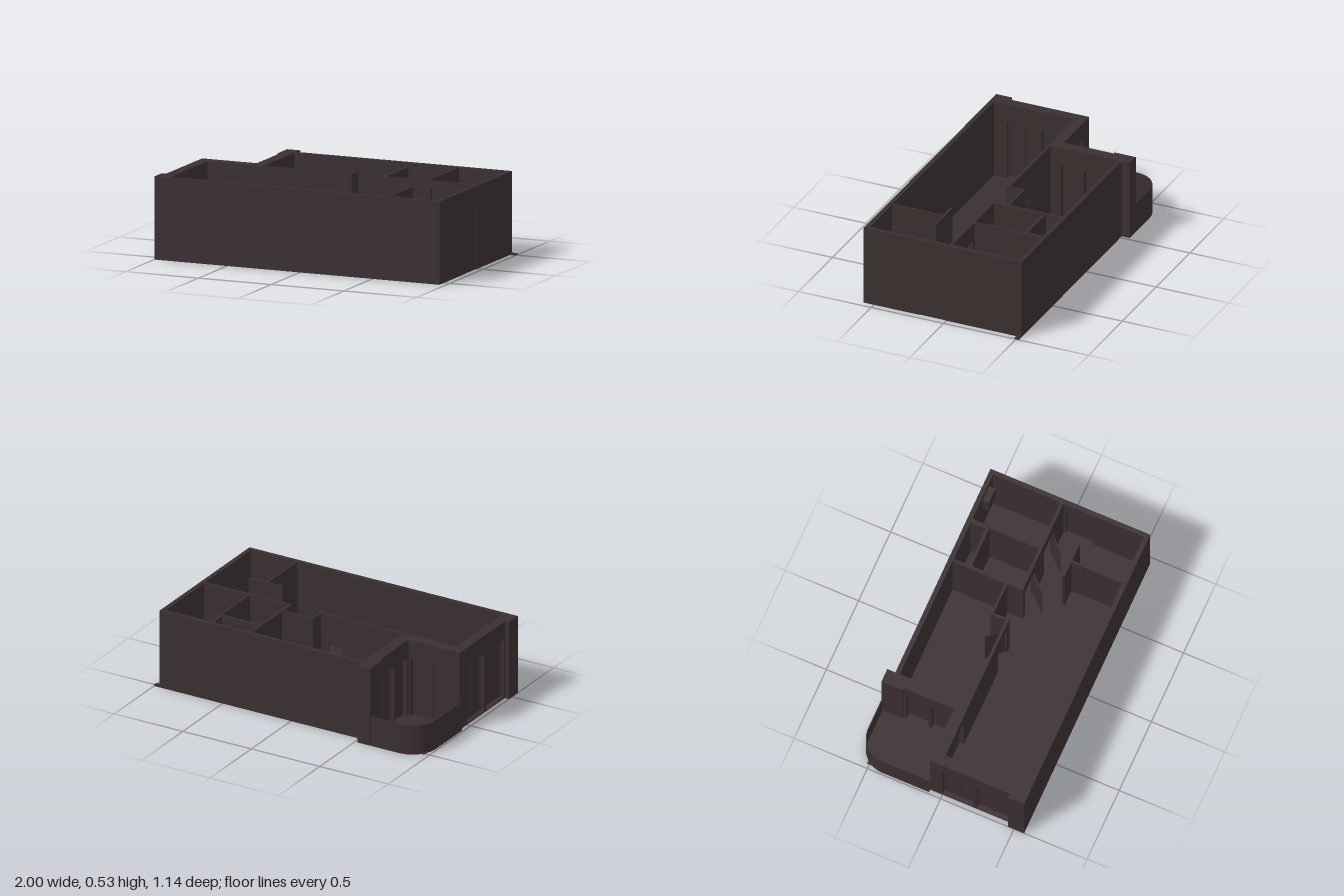
import * as THREE from 'three';

const H = 0.53;       // wall height
const DOOR = 0.405;   // opening height
const FLOOR = 0.01;   // slab thickness

export function createModel() {
  const model = new THREE.Group();
  model.name = 'apartment';
  const plaster = new THREE.MeshStandardMaterial({ color: 0x3a2f30 });
  plaster.name = 'dark plaster';

  const add = (name, geometry, parent = model) => {
    const mesh = new THREE.Mesh(geometry, plaster);
    mesh.name = name;
    parent.add(mesh);
    return mesh;
  };
  const box = (name, x0, x1, z0, z1, y0 = 0, y1 = H, parent = model) => {
    const mesh = add(name, new THREE.BoxGeometry(x1 - x0, y1 - y0, z1 - z0), parent);
    mesh.position.set((x0 + x1) / 2, (y0 + y1) / 2, (z0 + z1) / 2);
    return mesh;
  };

  // Wall along x or z with openings [start, end, panels]; panels = 0 leaves it open
  const wall = (name, axis, a, b, c0, c1, openings = [], panelAt = 0.5) => {
    const group = new THREE.Group();
    group.name = name;
    model.add(group);
    const piece = (part, s, e, t0, t1, y0, y1) => axis === 'x'
      ? box(part, s, e, t0, t1, y0, y1, group)
      : box(part, t0, t1, s, e, y0, y1, group);
    const mid = c0 + (c1 - c0) * panelAt;
    let from = a;
    for (const [s, e, panels] of openings) {
      if (s > from) piece('wallPiece', from, s, c0, c1, 0, H);
      piece('lintel', s, e, c0, c1, DOOR, H);
      if (panels) piece('panel', s, e, mid - 0.004, mid + 0.004, 0, DOOR);
      // Slim frame around every leaf of a glazed opening
      if (panels > 1) {
        const w = (e - s) / panels;
        for (let i = 0; i < panels; i++) {
          const p = s + i * w;
          piece('stile', p, p + 0.01, mid - 0.009, mid + 0.009, 0, DOOR);
          piece('stile', p + w - 0.01, p + w, mid - 0.009, mid + 0.009, 0, DOOR);
          piece('topRail', p + 0.01, p + w - 0.01, mid - 0.009, mid + 0.009, DOOR - 0.01, DOOR);
        }
      }
      from = e;
    }
    if (from < b) piece('wallPiece', from, b, c0, c1, 0, H);
  };

  // Floor slab and its small projecting corner
  box('floor', -0.97, 0.95, -0.515, 0.56, 0, FLOOR);
  box('floorCorner', 0.95, 1.0, -0.52, -0.49, 0, FLOOR);

  // Outer walls
  wall('frontWall', 'x', -1.0, 0.96, 0.54, 0.57);
  wall('backWall', 'x', -0.52, 0.96, -0.52, -0.49);
  wall('entranceWall', 'z', -0.49, 0.54, 0.93, 0.96, [[0.01, 0.185, 1]], 0.75);
  wall('windowWall', 'z', -0.085, 0.46, -0.97, -0.9, [[0.0, 0.21, 2], [0.235, 0.45, 2]]);
  wall('livingBalconyWall', 'x', -0.9, -0.595, -0.085, -0.01, [[-0.89, -0.61, 2]]);
  wall('bedroomBalconyWall', 'z', -0.43, -0.01, -0.595, -0.52, [[-0.41, -0.26, 2], [-0.24, -0.1, 1]]);

  // Corner piers
  box('balconyPier', -0.61, -0.52, -0.575, -0.43);
  box('frontPier', -1.0, -0.9, 0.46, 0.545);

  // Inner walls, with the niche beside the bedroom
  wall('hallWall', 'x', -0.52, 0.09, -0.03, -0.01, [[-0.085, 0.055, 0]]);
  wall('nicheSide', 'z', -0.13, -0.03, 0.075, 0.09);
  wall('nicheBack', 'x', 0.09, 0.3, -0.13, -0.115);
  wall('bathSideWall', 'z', -0.49, -0.01, 0.3, 0.32);
  wall('serviceWall', 'x', 0.32, 0.93, -0.03, -0.01, [[0.335, 0.475, 0], [0.63, 0.765, 0]]);
  wall('bathDivider', 'z', -0.49, -0.03, 0.595, 0.61);
  wall('closetWall', 'x', 0.32, 0.595, -0.388, -0.367);
  wall('closetEnd', 'z', -0.49, -0.388, 0.582, 0.595);
  wall('frontDivider', 'z', 0.195, 0.54, 0.593, 0.608);
  wall('screenWall', 'x', 0.485, 0.73, 0.177, 0.193);

  // Half-open inner doors, each turned 45 degrees about its hinge
  for (const [name, x, z, turn] of [
    ['bedroomDoor', 0.055, -0.03, -Math.PI / 4],
    ['bathDoor', 0.475, -0.01, Math.PI / 4],
    ['backRoomDoor', 0.765, -0.01, Math.PI / 4],
  ]) {
    const hinge = new THREE.Group();
    hinge.name = name;
    hinge.position.set(x, 0, z);
    hinge.rotation.y = turn;
    model.add(hinge);
    box('leaf', -0.13, 0, -0.003, 0.003, FLOOR, DOOR - 0.005, hinge);
  }

  // Balcony: curved slab and thin parapet following its edge
  const R = 0.17, x0 = -0.988, z0 = -0.575;
  const edge = [[-0.617, z0]];
  for (let i = 0; i <= 16; i++) {
    const t = (i / 16) * Math.PI / 2;
    edge.push([x0 + R - R * Math.sin(t), z0 + R - R * Math.cos(t)]);
  }
  edge.push([x0, -0.085]);
  const extrude = (points, depth) => {
    const shape = new THREE.Shape(points.map(([x, z]) => new THREE.Vector2(x, -z)));
    return new THREE.ExtrudeGeometry(shape, { depth, bevelEnabled: false }).rotateX(-Math.PI / 2);
  };
  add('balconyFloor', extrude([...edge, [-0.55, -0.085], [-0.55, z0]], FLOOR));
  const inner = edge.map(([x, z], i) => {
    const t = Math.min(Math.max((i - 1) / 16, 0), 1) * Math.PI / 2;
    return [x + 0.006 * Math.sin(t), z + 0.006 * Math.cos(t)];
  });
  add('balconyParapet', extrude([...edge, ...inner.reverse()], 0.2));

  // Wall unit in the back room
  box('wallUnit', 0.77, 0.87, -0.49, -0.447, 0.32, 0.47);

  // Round fitting on the window wall
  const fitting = add('wallFitting', new THREE.CylinderGeometry(0.028, 0.028, 0.02, 20));
  fitting.position.set(-0.882, 0.25, 0.07);
  const stem = add('fittingStem', new THREE.CylinderGeometry(0.008, 0.008, 0.03, 12));
  stem.rotation.z = Math.PI / 2;
  stem.position.set(-0.89, 0.25, 0.07);

  return model;
}
